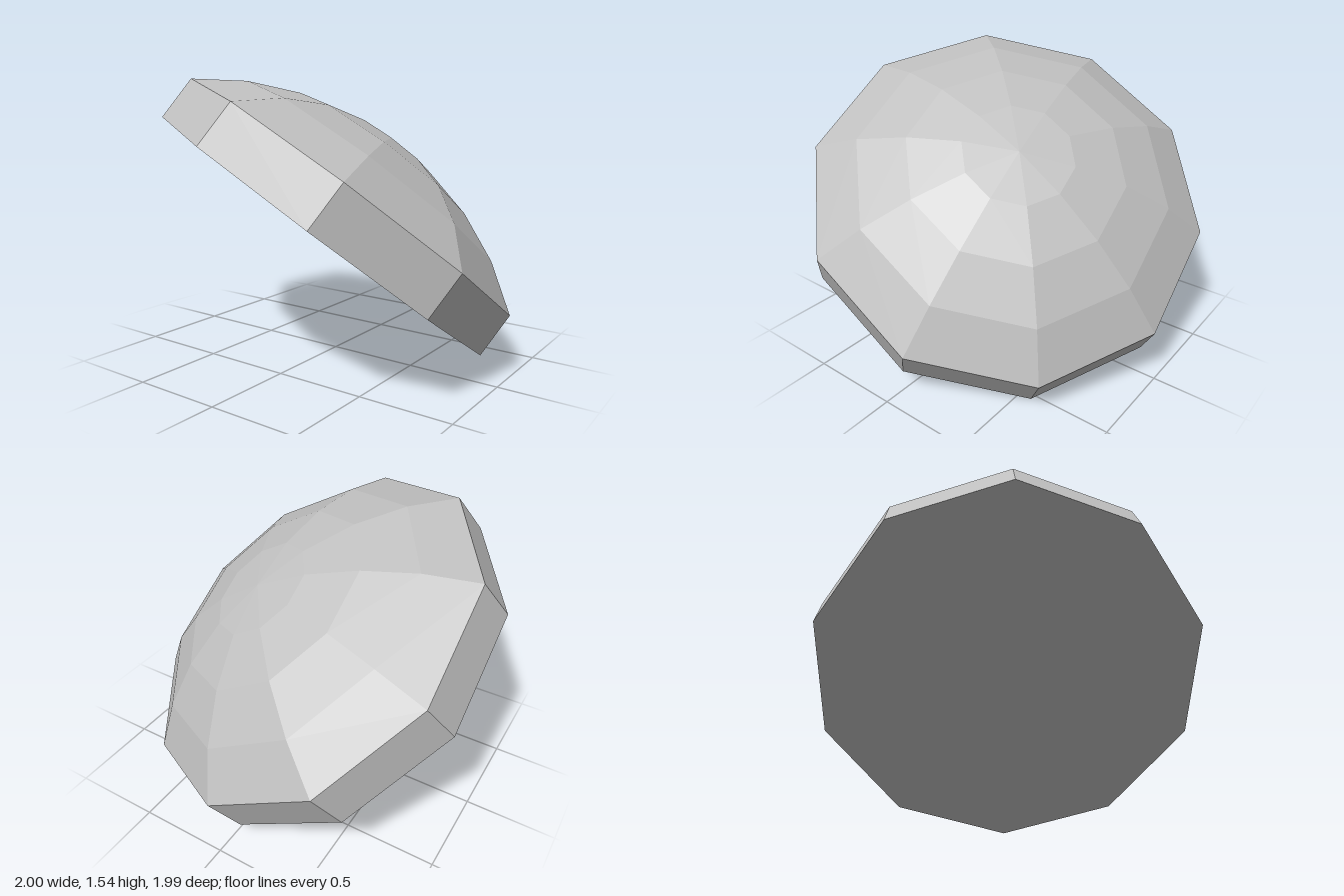
import * as THREE from 'three';

const SIDES = 10;
const RIM_RADIUS = 1.088;
const RIM_HEIGHT = 0.2535;
const DOME_RADIUS = 1.655; // radius of the sphere the cap is cut from
const DOME_RINGS = 4;

export function createModel() {
  const stone = new THREE.MeshStandardMaterial({ color: 0xc0c0c0, flatShading: true });
  stone.name = 'pale grey';

  const model = new THREE.Group();
  model.name = 'tiltedDome';

  const addLathe = (name, points) => {
    const mesh = new THREE.Mesh(new THREE.LatheGeometry(points, SIDES), stone);
    mesh.name = name;
    model.add(mesh);
  };

  // Flat underside
  addLathe('base', [new THREE.Vector2(0, 0), new THREE.Vector2(RIM_RADIUS, 0)]);

  // Straight side wall
  addLathe('rim', [
    new THREE.Vector2(RIM_RADIUS, 0),
    new THREE.Vector2(RIM_RADIUS, RIM_HEIGHT),
  ]);

  // Faceted spherical cap, equal angle steps from rim to apex
  const capAngle = Math.asin(RIM_RADIUS / DOME_RADIUS);
  const sphereCentre = RIM_HEIGHT - DOME_RADIUS * Math.cos(capAngle);
  const profile = [];
  for (let i = DOME_RINGS; i >= 0; i--) {
    const a = (capAngle * i) / DOME_RINGS;
    profile.push(new THREE.Vector2(
      DOME_RADIUS * Math.sin(a),
      sphereCentre + DOME_RADIUS * Math.cos(a),
    ));
  }
  addLathe('dome', profile);

  // Lean the whole body: local y is the dome axis, local z points at one corner
  const axis = new THREE.Vector3(0.404, 0.7885, -0.4637).normalize();
  const side = new THREE.Vector3().crossVectors(axis, new THREE.Vector3(0, 0.506, 0.8625)).normalize();
  const corner = new THREE.Vector3().crossVectors(side, axis);
  model.quaternion.setFromRotationMatrix(new THREE.Matrix4().makeBasis(side, axis, corner));
  model.position.set(-0.052, 0.668, 0.0575);

  const root = new THREE.Group();
  root.add(model);
  return root;
}
